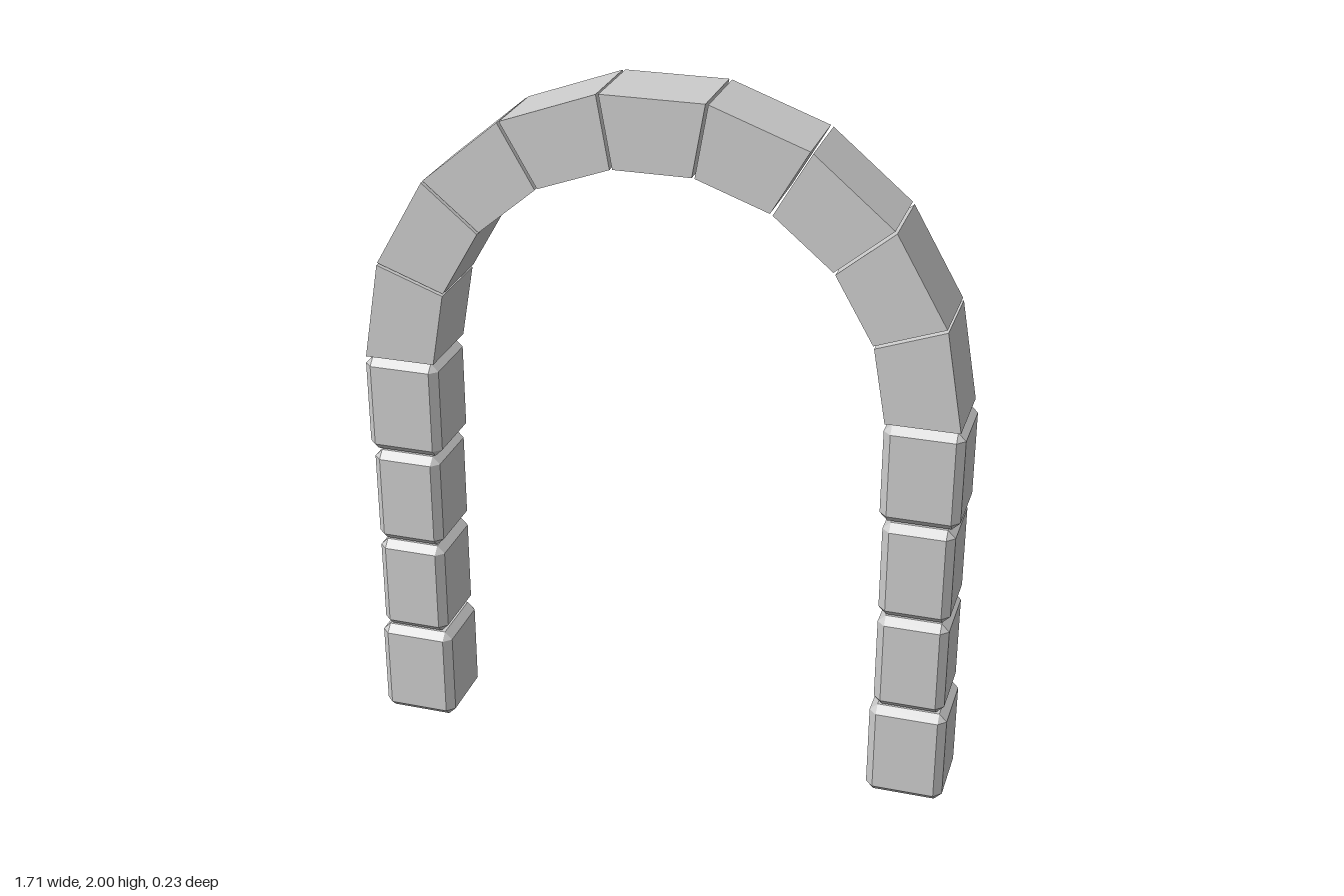
import * as THREE from 'three';
import { ConvexGeometry } from 'three/addons/geometries/ConvexGeometry.js';

const DEPTH = 0.226;

// Box with every edge cut at 45 degrees
function chamferedBox(w, h, d, c) {
  const points = [];
  for (const sx of [-1, 1]) for (const sy of [-1, 1]) for (const sz of [-1, 1]) {
    const x = w / 2, y = h / 2, z = d / 2;
    points.push(
      new THREE.Vector3(sx * x, sy * (y - c), sz * (z - c)),
      new THREE.Vector3(sx * (x - c), sy * y, sz * (z - c)),
      new THREE.Vector3(sx * (x - c), sy * (y - c), sz * z));
  }
  return new ConvexGeometry(points);
}

// Wedge stone pointing up, centred on the arch axis, with parallel joints
function wedgeStone(inner, outer, halfAngle, joint) {
  const at = r => [r * Math.sin(halfAngle) - joint, r * Math.cos(halfAngle)];
  const [xi, yi] = at(inner), [xo, yo] = at(outer);
  const shape = new THREE.Shape([
    new THREE.Vector2(-xi, yi), new THREE.Vector2(xi, yi),
    new THREE.Vector2(xo, yo), new THREE.Vector2(-xo, yo)]);
  const geometry = new THREE.ExtrudeGeometry(shape, { depth: DEPTH, bevelEnabled: false });
  return geometry.translate(0, 0, -DEPTH / 2);
}

export function createModel() {
  const model = new THREE.Group();
  model.name = 'stoneArch';
  const stone = new THREE.MeshStandardMaterial({ color: 0xcccccc, flatShading: true });

  // Two pillars of four stacked blocks, the middle two slimmer
  const widths = [0.22, 0.2, 0.2, 0.22];
  const pitch = 0.2925, blockHeight = 0.288;
  for (const side of [-1, 1]) {
    const pillar = new THREE.Group();
    pillar.name = side > 0 ? 'leftPillar' : 'rightPillar';
    pillar.position.x = side * 0.744;
    widths.forEach((w, i) => {
      const block = new THREE.Mesh(chamferedBox(w, blockHeight, DEPTH, 0.022), stone);
      block.name = 'pillarBlock' + (i + 1);
      block.position.y = blockHeight / 2 + i * pitch;
      pillar.add(block);
    });
    model.add(pillar);
  }

  // Semicircle of nine wedge stones
  const arch = new THREE.Group();
  arch.name = 'arch';
  arch.position.y = 1.17;
  const count = 9, step = Math.PI / count;
  const wedge = wedgeStone(0.64, 0.843, step / 2, 0.004);
  for (let i = 0; i < count; i++) {
    const mesh = new THREE.Mesh(wedge, stone);
    mesh.name = i === (count - 1) / 2 ? 'keystone' : 'archStone' + (i + 1);
    mesh.rotation.z = (i - (count - 1) / 2) * step;
    arch.add(mesh);
  }
  model.add(arch);
  return model;
}
